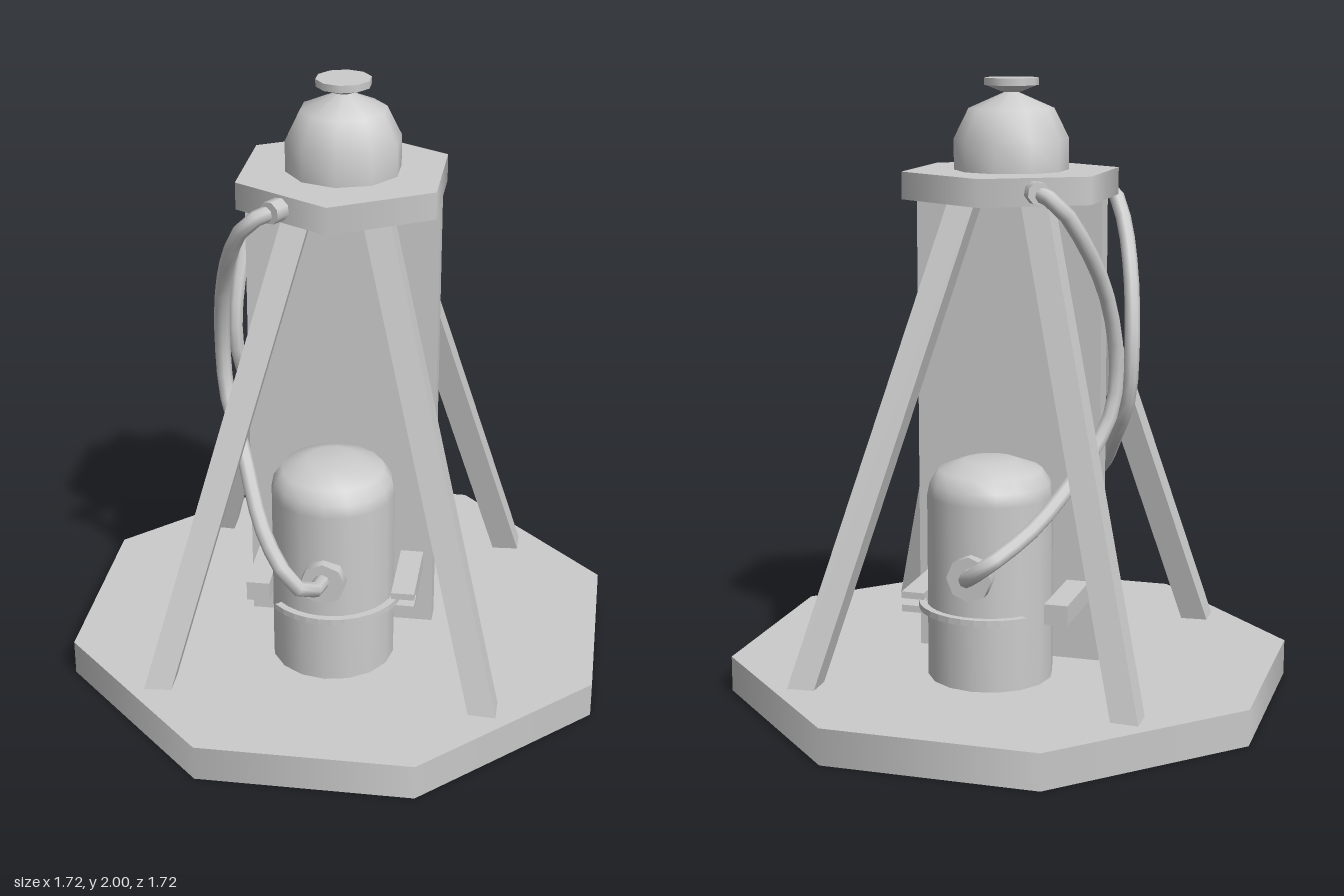
import * as THREE from 'three';

const material = new THREE.MeshStandardMaterial({ color: 0xcccccc, side: THREE.DoubleSide });

export function createModel() {
  const model = new THREE.Group();
  const add = (name, geometry, x = 0, y = 0, z = 0) => {
    const mesh = new THREE.Mesh(geometry, material);
    mesh.name = name;
    mesh.position.set(x, y, z);
    model.add(mesh);
    return mesh;
  };
  const box = (name, w, h, d, x, y, z) => add(name, new THREE.BoxGeometry(w, h, d), x, y, z);
  const lathe = (points, segments) =>
    new THREE.LatheGeometry(points.map(([r, y]) => new THREE.Vector2(r, y)), segments);

  // Octagonal base: a shallow shell, open underneath
  const baseTop = 0.117, a = 0.86, b = 0.343;
  const rim = new THREE.CylinderGeometry(0.931, 0.931, baseTop, 8, 1, true, Math.PI / 8);
  const rp = rim.attributes.position;
  const fit = (v) => Math.sign(v) * (Math.abs(v) < 0.5 ? b : a);
  for (let i = 0; i < rp.count; i++) rp.setXYZ(i, fit(rp.getX(i)), rp.getY(i), fit(rp.getZ(i)));
  add('baseRim', rim, 0, baseTop / 2, 0);
  const outline = [[a, b], [b, a], [-b, a], [-a, b], [-a, -b], [-b, -a], [b, -a], [a, -b]];
  const deck = new THREE.Shape(outline.map(([x, y]) => new THREE.Vector2(x, y)));
  add('baseDeck', new THREE.ShapeGeometry(deck).rotateX(-Math.PI / 2), 0, baseTop, 0);

  // Four leaning legs whose feet poke through the deck
  const lean = Math.PI / 12;
  for (const sx of [-1, 1]) for (const sz of [-1, 1]) {
    const leg = box('leg', 0.085, 1.68, 0.085, sx * 0.318, 0.875, sz * 0.317);
    leg.rotation.set(-sz * lean, 0, sx * lean, 'ZYX');
  }

  // Central panel and hexagonal top plate
  box('centralPanel', 0.614, 1.53, 0.07, 0, 0.87, 0);
  add('topPlate', new THREE.CylinderGeometry(0.355, 0.355, 0.087, 6), 0, 1.668, 0);

  // Domed cap with a small flared button
  add('dome', lathe([[0.183, 1.71], [0.183, 1.81], [0.136, 1.905], [0.015, 1.958], [0, 1.958]], 10));
  add('capNeck', new THREE.CylinderGeometry(0.085, 0.03, 0.022, 10), 0, 1.967, 0);
  add('capButton', new THREE.CylinderGeometry(0.087, 0.087, 0.023, 10), 0, 1.9885, 0);

  // Tank, clamp and hose, repeated on the front and back
  for (const s of [1, -1]) {
    const tankZ = 0.235 * s;
    add('tank', lathe([[0.2, 0.115], [0.2, 0.71], [0.192, 0.75], [0.165, 0.79], [0.085, 0.82], [0, 0.821]], 16),
      0, 0, tankZ);

    // Side brackets: plain on one side, slotted for the clamp on the other
    box('bracket', 0.075, 0.066, 0.275, -0.237, 0.35, 0.1725 * s);
    box('bracket', 0.075, 0.066, 0.205, 0.237, 0.35, 0.1375 * s);
    for (const y of [0.328, 0.372]) box('bracketProng', 0.075, 0.022, 0.07, 0.237, y, 0.275 * s);

    // Partial clamp band ending in the slot
    const from = 0.15 * s, to = 2.38 * s;
    const band = new THREE.Shape();
    band.absarc(0, 0, 0.228, from, to, s < 0);
    band.absarc(0, 0, 0.205, to, from, s > 0);
    const bandGeometry = new THREE.ExtrudeGeometry(band, { depth: 0.02, bevelEnabled: false, curveSegments: 6 });
    bandGeometry.rotateX(Math.PI / 2);
    add('clampBand', bandGeometry, 0, 0.36, tankZ);

    // Hose fittings on the tank and the top plate
    const port = add('tankPort', new THREE.CylinderGeometry(0.072, 0.072, 0.08, 8), 0, 0.49, 0.425 * s);
    port.rotation.x = Math.PI / 2;
    const collar = add('hoseCollar', new THREE.CylinderGeometry(0.036, 0.036, 0.07, 8), -0.162, 1.668, 0.28 * s);
    collar.quaternion.setFromUnitVectors(new THREE.Vector3(0, 1, 0), new THREE.Vector3(-0.5, 0, 0.866 * s));

    const path = new THREE.CatmullRomCurve3([
      [0, 0.5, 0.45], [-0.015, 0.51, 0.53], [-0.065, 0.55, 0.585], [-0.12, 0.59, 0.54],
      [-0.2, 0.66, 0.42], [-0.3, 0.82, 0.2], [-0.36, 0.96, 0.12], [-0.375, 1.12, 0.105],
      [-0.355, 1.35, 0.17], [-0.3, 1.54, 0.28], [-0.25, 1.63, 0.325], [-0.205, 1.662, 0.325], [-0.16, 1.668, 0.275],
    ].map(([x, y, z]) => new THREE.Vector3(x, y, z * s)));
    add('hose', new THREE.TubeGeometry(path, 22, 0.025, 8));
  }
  return model;
}
